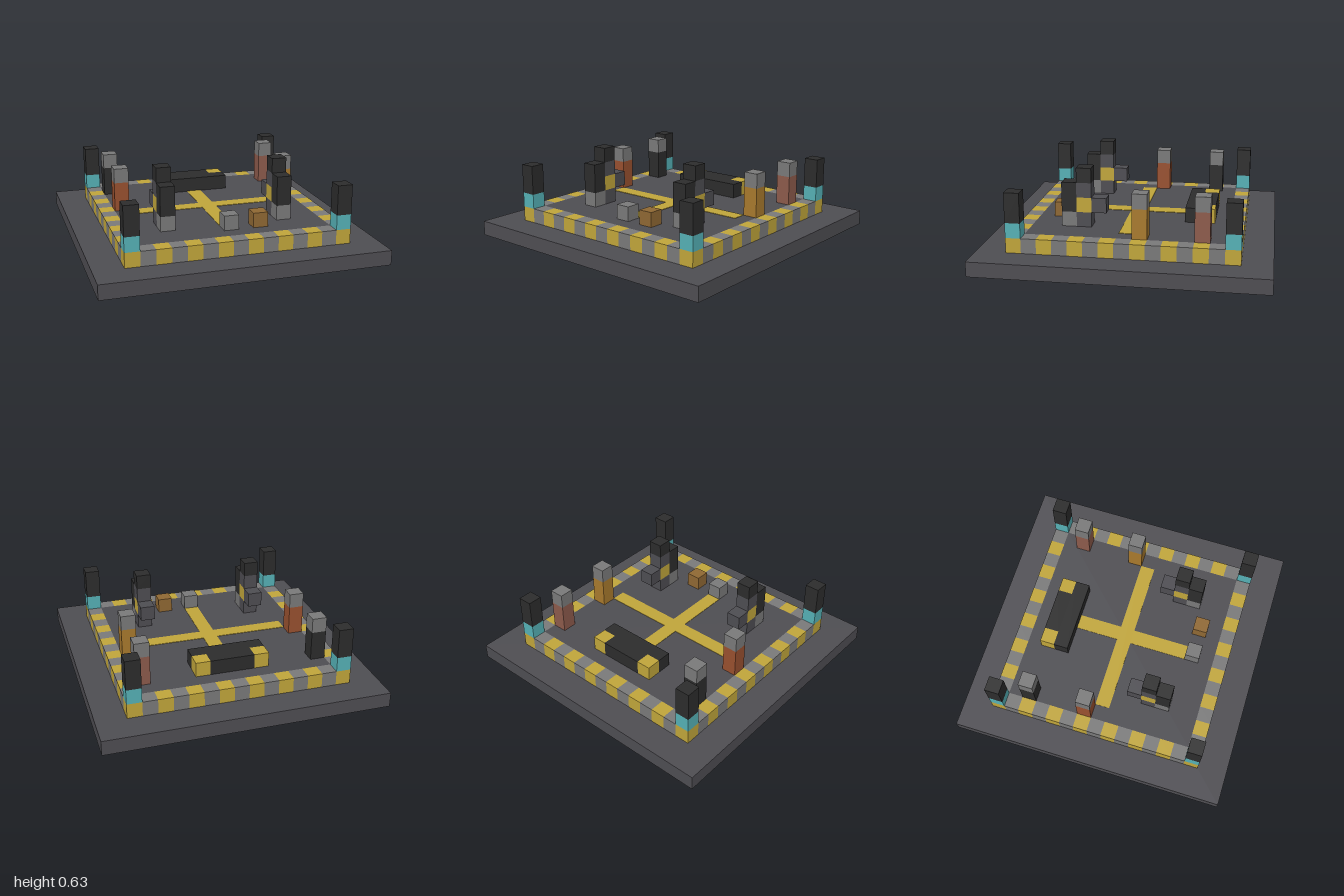
import * as THREE from 'three';

const U = 2 / 19; // one block

const mat = (name, color) => {
  const m = new THREE.MeshStandardMaterial({ color });
  m.name = name;
  return m;
};

export function createModel() {
  const M = {
    slate: mat('slate', 0x4e4d52),
    grey: mat('grey', 0x797979),
    yellow: mat('yellow', 0xc0a53a),
    black: mat('black', 0x2c2c2c),
    teal: mat('teal', 0x55b0b5),
    amber: mat('amber', 0xa8792d),
    brown: mat('brown', 0x8f6833),
    rust: mat('rust', 0x98502f),
    clay: mat('clay', 0x8c5a4b),
  };
  const root = new THREE.Group();
  root.name = 'arena';

  const group = (name) => {
    const g = new THREE.Group();
    g.name = name;
    root.add(g);
    return g;
  };

  // Box centred on block column (x, z), from block level y upward
  const block = (parent, name, color, x, y, z, w = 1, h = 1, d = 1) => {
    const mesh = new THREE.Mesh(new THREE.BoxGeometry(w * U, h * U, d * U), M[color]);
    mesh.name = name;
    mesh.position.set(x * U, (y + h / 2) * U, z * U);
    parent.add(mesh);
  };

  // Base slab and raised floor
  block(root, 'baseSlab', 'slate', 0, 0, 0, 19, 1, 19);
  block(root, 'raisedFloor', 'slate', 0, 1, 0, 13, 1, 13);

  // Flat cross marking on the floor
  const cross = group('floorCross');
  block(cross, 'crossArmAcross', 'yellow', 0, 2, 0, 11, 0.03, 1);
  block(cross, 'crossArmBack', 'yellow', 0, 2, -2, 1, 0.03, 3);
  block(cross, 'crossArmFront', 'yellow', 0, 2, 2.5, 1, 0.03, 4);

  // Striped border, alternating block by block
  const border = group('stripedBorder');
  for (let i = -7; i <= 7; i++) {
    const color = i % 2 ? 'yellow' : 'grey';
    for (const s of [-7, 7]) {
      block(border, 'borderBlock', color, i, 1, s);
      if (Math.abs(i) < 7) block(border, 'borderBlock', color, s, 1, i);
    }
  }

  // Corner posts with a lit base
  for (const x of [-7, 7]) for (const z of [-7, 7]) {
    const post = group('cornerPost');
    block(post, 'postLight', 'teal', x, 2, z);
    block(post, 'postTop', 'black', x, 3, z, 1, 2);
  }

  // Side pillars with grey caps
  for (const [x, z, color] of [[-6, -5, 'black'], [6, -5, 'clay'], [-6, -1, 'rust'], [6, -1, 'amber']]) {
    const pillar = group('sidePillar');
    block(pillar, 'pillarBody', color, x, 2, z, 1, 2);
    block(pillar, 'pillarCap', 'grey', x, 4, z);
  }

  // Console at the back
  const console_ = group('console');
  block(console_, 'consoleFront', 'black', 0, 2, -4, 5);
  block(console_, 'consoleBack', 'black', 0, 2, -5, 3);
  for (const x of [-2, 2]) block(console_, 'consoleEnd', 'yellow', x, 2, -5);

  // Two machines near the front
  for (const x of [-4, 4]) {
    const machine = group('machine');
    block(machine, 'machineFoot', 'grey', x, 2, 4);
    block(machine, 'machineFront', 'black', x, 3, 4, 1, 2);
    block(machine, 'machineBase', 'slate', x, 2, 3);
    block(machine, 'machineBand', 'yellow', x, 3, 3);
    block(machine, 'machineNeck', 'slate', x, 4, 3);
    block(machine, 'machineHead', 'black', x, 5, 3);
    block(machine, 'machineRear', 'slate', x, 3, 2);
  }

  // Loose blocks at the front
  block(root, 'stoneBlock', 'grey', 0, 2, 5);
  block(root, 'crate', 'brown', 2, 2, 5);

  return root;
}
